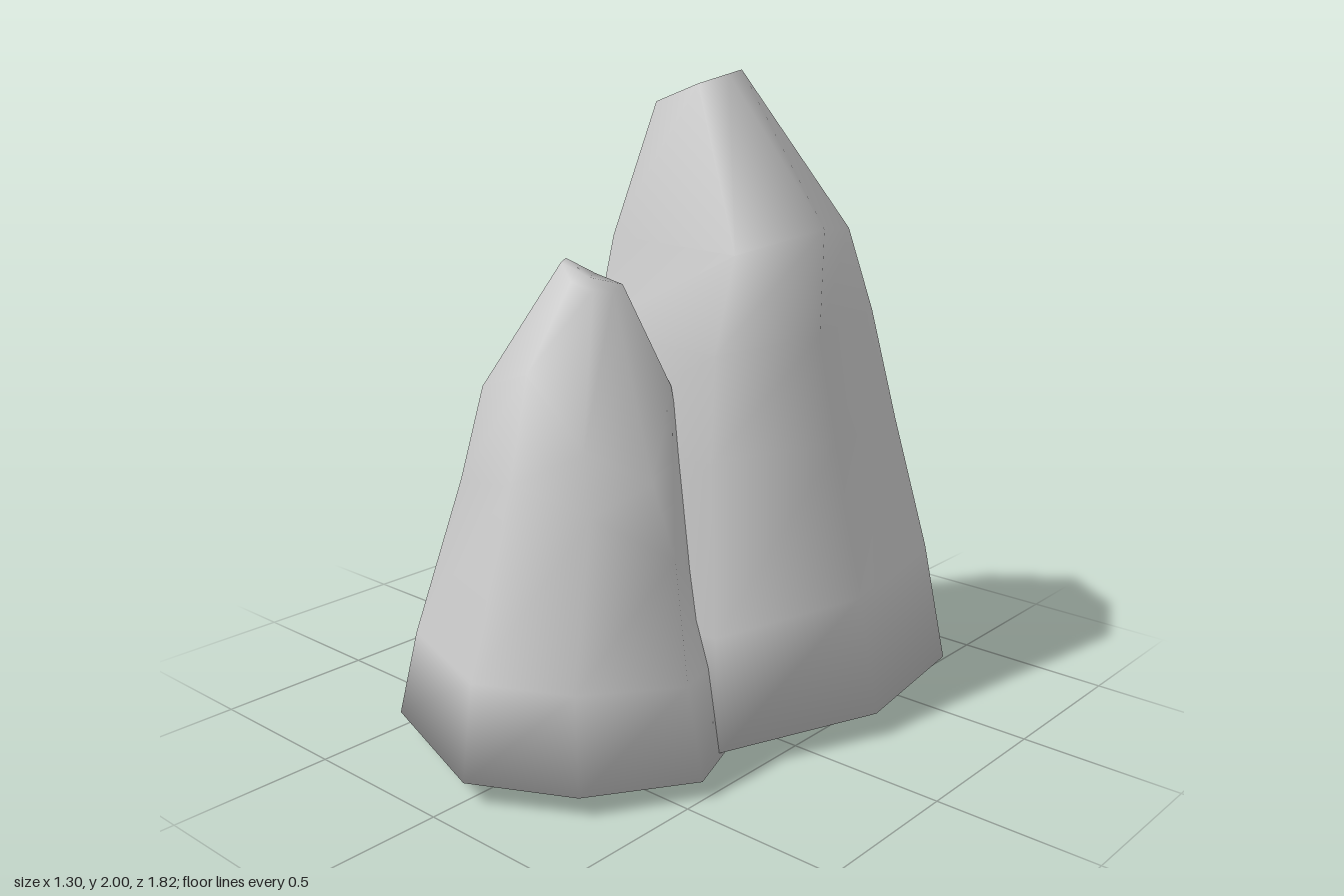
import * as THREE from 'three';

// Fit a base outline into the extents of a level, tilting it along x and z.
// Level: [y at centre, xMin, xMax, zMin, zMax, slope of y along x, slope of y along z]
function fitRing(outline, [y, x0, x1, z0, z1, slopeX, slopeZ]) {
  const fit = (v, list, lo, hi) =>
    THREE.MathUtils.mapLinear(v, Math.min(...list), Math.max(...list), lo, hi);
  const xs = outline.map((p) => p[0]), zs = outline.map((p) => p[1]);
  return outline.map(([px, pz]) => {
    const x = fit(px, xs, x0, x1), z = fit(pz, zs, z0, z1);
    return [x, y + slopeX * (x - (x0 + x1) / 2) + slopeZ * (z - (z0 + z1) / 2), z];
  });
}

// Loft a rock through the fitted levels and the free crown rings, closed at both ends.
// Outlines run back, +x, front, -x.
function makeRock(name, outline, levels, crown, bottom) {
  const n = outline.length;
  const rings = [...levels.map((level) => fitRing(outline, level)), ...crown];
  const last = rings.length - 1;
  const tip = [0, 1, 2].map((k) => rings[last].reduce((sum, p) => sum + p[k], 0) / n);
  const positions = [bottom, ...rings.flat(), tip].flat();
  const top = 1 + rings.length * n;

  const index = [];
  const at = (ring, i) => 1 + ring * n + (i % n);
  for (let i = 0; i < n; i++) {
    index.push(0, at(0, i), at(0, i + 1));
    for (let r = 0; r < last; r++) {
      const a = at(r, i), b = at(r, i + 1), c = at(r + 1, i + 1), d = at(r + 1, i);
      index.push(a, d, b, b, d, c);
    }
    index.push(at(last, i), top, at(last, i + 1));
  }

  const geometry = new THREE.BufferGeometry();
  geometry.setAttribute('position', new THREE.Float32BufferAttribute(positions, 3));
  geometry.setIndex(index);
  geometry.computeVertexNormals();
  const mesh = new THREE.Mesh(geometry, new THREE.MeshStandardMaterial({ color: 0xcccccc }));
  mesh.name = name;
  return mesh;
}

export function createModel() {
  const group = new THREE.Group();
  group.name = 'rockFormation';

  // Tall rock at the back
  group.add(makeRock(
    'tallRock',
    [[0, -0.91], [0.59, -0.69], [0.65, -0.21], [0.44, 0.29], [-0.34, 0.3], [-0.65, -0.22], [-0.53, -0.68]],
    [
      [0.08, -0.65, 0.65, -0.91, 0.3, 0, -0.02],
      [0.45, -0.565, 0.585, -0.845, 0.275, 0, -0.08],
      [0.92, -0.45, 0.51, -0.71, 0.245, 0, 0],
      [1.27, -0.295, 0.465, -0.585, 0.215, -0.04, -0.08],
    ],
    [
      // shoulder, then tip
      [[0.04, 1.71, -0.475], [0.3, 1.51, -0.49], [0.43, 1.55, -0.18], [0.34, 1.5, 0.12],
        [-0.1, 1.52, 0.15], [-0.23, 1.62, -0.1], [-0.2, 1.6, -0.38]],
      [[0.15, 1.98, -0.1], [0.18, 2, -0.1], [0.18, 1.99, -0.04], [0.15, 1.965, 0.06],
        [0, 1.91, 0.07], [-0.025, 1.9, 0.03], [0.06, 1.93, -0.05]],
    ],
    [0, 0, -0.21],
  ));

  // Short rock leaning against its front
  group.add(makeRock(
    'shortRock',
    [[-0.36, 0.1], [0.38, 0.12], [0.495, 0.43], [0.31, 0.74], [0.02, 0.905], [-0.45, 0.75], [-0.55, 0.42]],
    [
      [0.065, -0.55, 0.495, 0.1, 0.905, -0.02, 0.02],
      [0.33, -0.48, 0.435, 0.12, 0.865, 0, 0.08],
      [0.7, -0.39, 0.34, 0.15, 0.69, 0, 0.7],
    ],
    [
      // shoulder, then tip
      [[-0.24, 1.2, 0.21], [0.2, 1.12, 0.23], [0.3, 0.89, 0.42], [0.2, 1.0, 0.59],
        [0, 1.19, 0.61], [-0.24, 1.11, 0.56], [-0.295, 1.17, 0.41]],
      [[-0.08, 1.42, 0.25], [0.03, 1.4, 0.25], [0.04, 1.385, 0.3], [0.03, 1.4, 0.37],
        [-0.03, 1.42, 0.4], [-0.1, 1.465, 0.37], [-0.1, 1.475, 0.35]],
    ],
    [0, 0.01, 0.43],
  ));

  return group;
}
